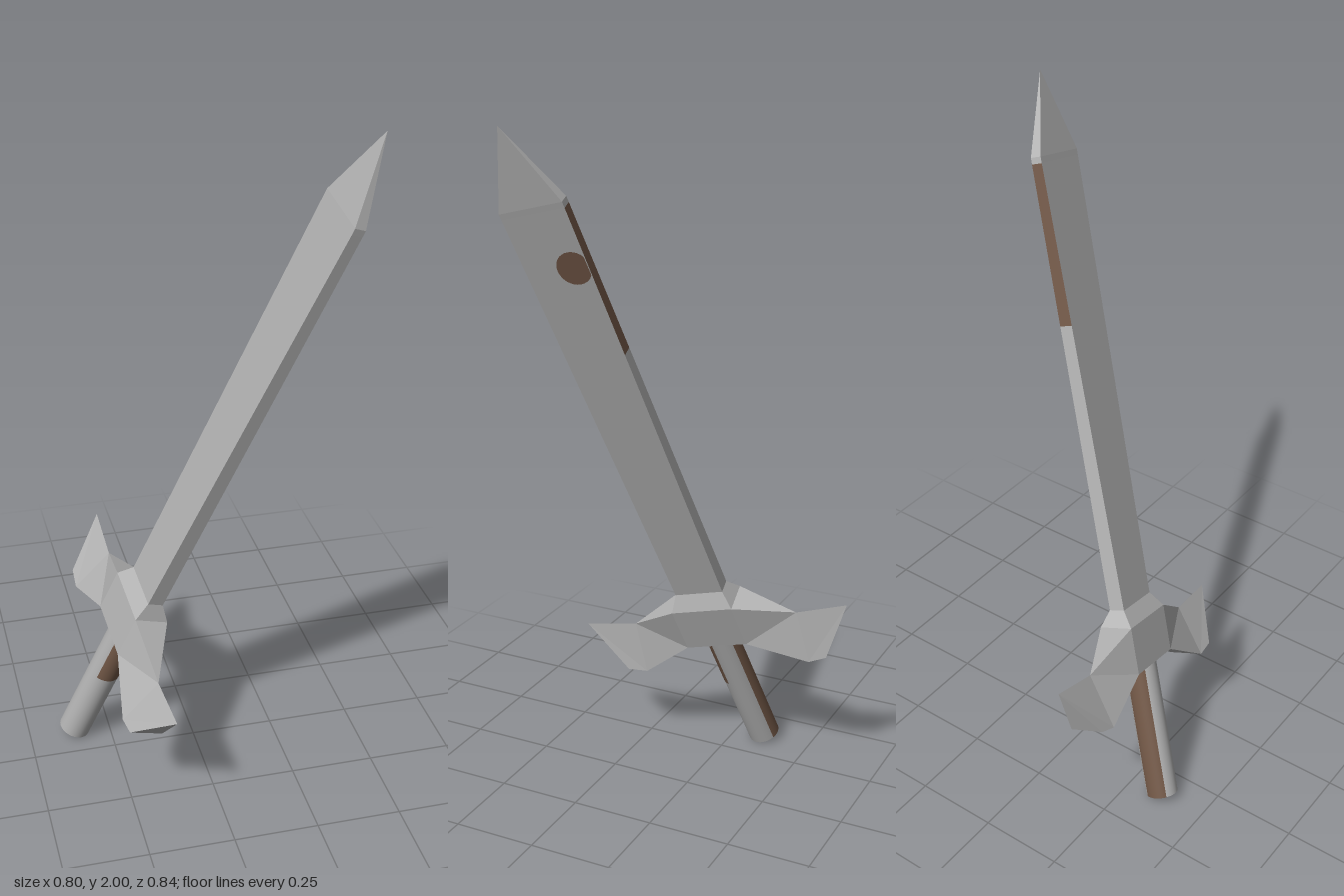
import * as THREE from 'three';

const steel = new THREE.MeshStandardMaterial({ color: 0xb0b0b0 });
steel.name = 'steel';
const rust = new THREE.MeshStandardMaterial({ color: 0x715746 });
rust.name = 'rustBrown';

// Skins four-cornered rings into a faceted solid; paint(segment, side) gives the material index.
function loft(rings, paint = () => 0, mirrorZ = false) {
  const tris = [[], []];
  const add = (m, a, b, c) => {
    const [A, B, C] = [a, b, c].map((p) => new THREE.Vector3(p[0], p[1], mirrorZ ? -p[2] : p[2]));
    if (B.clone().sub(A).cross(C.clone().sub(A)).length() < 1e-8) return;
    for (const p of mirrorZ ? [A, C, B] : [A, B, C]) tris[m].push(p.x, p.y, p.z);
  };
  for (let i = 0; i < rings.length - 1; i++) {
    for (let k = 0; k < 4; k++) {
      const j = (k + 1) % 4, m = paint(i, k);
      const a = rings[i][k], b = rings[i][j], c = rings[i + 1][j], d = rings[i + 1][k];
      if (k === 3) { add(m, a, b, c); add(m, a, c, d); }
      else { add(m, a, b, d); add(m, b, c, d); }
    }
  }
  const s = rings[0], e = rings[rings.length - 1];
  add(0, s[0], s[2], s[1]); add(0, s[0], s[3], s[2]);
  add(0, e[0], e[1], e[2]); add(0, e[0], e[2], e[3]);
  const g = new THREE.BufferGeometry();
  g.setAttribute('position', new THREE.Float32BufferAttribute(tris[0].concat(tris[1]), 3));
  g.addGroup(0, tris[0].length / 3, 0);
  g.addGroup(tris[0].length / 3, tris[1].length / 3, 1);
  g.computeVertexNormals();
  return g;
}

// Rectangular ring across the sword's length: height, half thickness, half width
const rect = (y, t, w) => [[-t, y, w], [t, y, w], [t, y, -w], [-t, y, -w]];

// Wing ring across the guard: half thickness and height at top and bottom, with their reach
const wingRing = (tTop, yTop, zTop, yLow, zLow, tLow = 0.052) => [
  [tTop, yTop, zTop], [-tTop, yTop, zTop], [-tLow, yLow, zLow], [tLow, yLow, zLow]];

export function createModel() {
  const sword = new THREE.Group();
  sword.name = 'sword';
  const add = (name, geometry, material) => {
    const mesh = new THREE.Mesh(geometry, material);
    mesh.name = name;
    sword.add(mesh);
    return mesh;
  };
  const both = [steel, rust];

  // Blade, slightly flaring, with a rusted upper back edge
  add('blade', loft([
    rect(0.618, 0.024, 0.077), rect(1.47, 0.019, 0.088), rect(1.92, 0.016, 0.094),
    rect(1.938, 0.016, 0.094), rect(2.164, 0, 0),
  ], (i, k) => (i === 1 && k === 2 ? 1 : 0)), both);

  // Round rust spot on the blade face, cut off at the edge
  const spot = new THREE.CircleGeometry(0.049, 32).rotateY(Math.PI / 2).translate(0.0185, 1.75, -0.05);
  const p = spot.attributes.position;
  for (let i = 0; i < p.count; i++) p.setZ(i, Math.max(p.getZ(i), -0.09));
  add('bladeSpot', spot, rust);

  // Guard block with its sloping collar
  add('guardBlock', loft([
    rect(0.43, 0.052, 0.098), rect(0.573, 0.052, 0.098), rect(0.62, 0.024, 0.077),
  ]), both);

  // Guard wings: ridge on top, full thickness below, one with a rusted underside
  const wing = [
    wingRing(0.052, 0.573, 0.098, 0.43, 0.098),
    wingRing(0, 0.497, 0.269, 0.342, 0.272),
    wingRing(0, 0.511, 0.433, 0.355, 0.332),
  ];
  add('frontGuardWing', loft(wing), both);
  add('backGuardWing', loft(wing, (i, k) => (k === 2 ? 1 : 0), true), both);

  // Round grip with thin rusted patches
  const grip = new THREE.CylinderGeometry(0.048, 0.048, 0.44, 32);
  add('grip', grip.translate(0, 0.22, 0), steel);
  const patch = (name, y0, y1, from, to) => {
    const rad = THREE.MathUtils.degToRad;
    const g = new THREE.CylinderGeometry(0.0488, 0.0488, y1 - y0, 16, 1, true, rad(from), rad(to - from));
    add(name, g.translate(0, (y0 + y1) / 2, 0), rust);
  };
  patch('gripBackStripe', 0, 0.43, 145, 225);
  patch('gripFrontPatch', 0.26, 0.43, -45, 65);

  // Lean the whole sword
  const up = new THREE.Vector3(0.351, 0.915, 0.199).normalize();
  const side = new THREE.Vector3(0.072, -0.238, 0.968);
  side.addScaledVector(up, -side.dot(up)).normalize();
  const face = new THREE.Vector3().crossVectors(up, side);
  sword.quaternion.setFromRotationMatrix(new THREE.Matrix4().makeBasis(face, up, side));
  sword.position.set(-0.36, 0.02, -0.1);

  const model = new THREE.Group();
  model.name = 'leaningSword';
  model.add(sword);
  return model;
}
